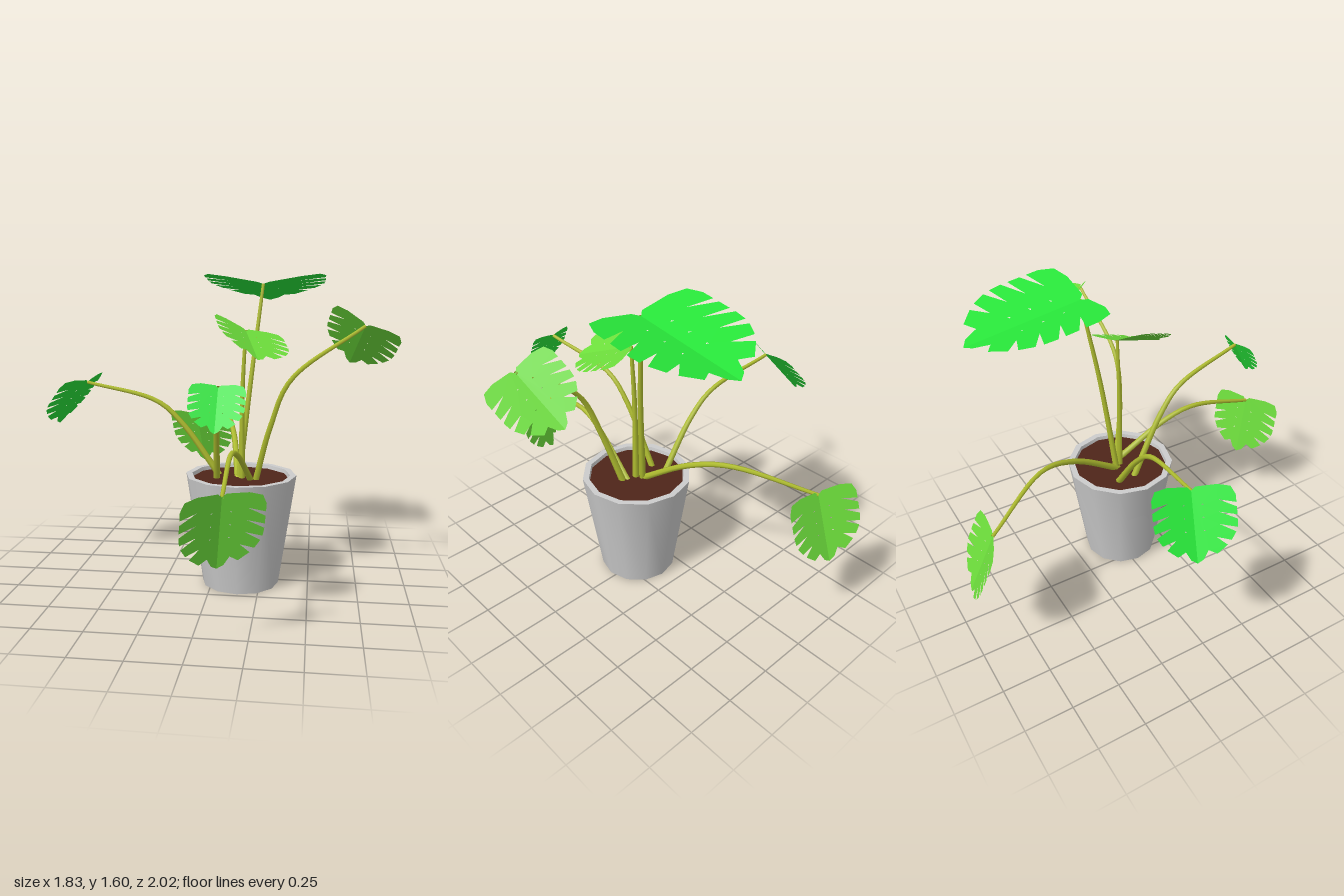
import * as THREE from 'three';
import { mergeGeometries, toCreasedNormals } from 'three/addons/utils/BufferGeometryUtils.js';

const mat = (color) => new THREE.MeshStandardMaterial({ color, side: THREE.DoubleSide });
const V = (p) => new THREE.Vector3(...p);
const FOLD = 0.17; // rise of the leaf blade away from the midrib

// Half width of the blade at height y, both as shares of the leaf size
const envelope = (y) => (y < 0.45 ? 1 : (1 - ((y - 0.45) / 0.55) ** 2) ** 0.75);

// Half of a split leaf: a rounded base lobe, five forward-pointing fingers, the tip
function halfOutline() {
  const pts = [[0, 0], [0.1, -0.05], [0.6, -0.06], [0.9, -0.02]];
  for (let i = 0; i < 5; i++) {
    const low = 0.1 + 0.17 * i, high = low + 0.11;
    pts.push([envelope(low), low], [envelope(high), high], [0.58 * envelope(high), high - 0.06]);
  }
  return [...pts, [0.15, 0.95], [0, 1]];
}

// Both halves of a leaf, folded along the midrib, with a few small slits
function leafGeometry(length, halfWidth) {
  const halves = [1, -1].map((side) => {
    const at = (x, y) => new THREE.Vector2(side * x * halfWidth, y * length);
    const shape = new THREE.Shape(halfOutline().map(([x, y]) => at(x, y)));
    for (let y = 0.2; y < 0.6; y += 0.18) {
      shape.holes.push(new THREE.Path([at(0.2, y), at(0.23, y - 0.01), at(0.25, y + 0.01)]));
    }
    const g = new THREE.ShapeGeometry(shape);
    const p = g.attributes.position;
    for (let i = 0; i < p.count; i++) p.setZ(i, Math.abs(p.getX(i)) * FOLD);
    g.computeVertexNormals();
    return g;
  });
  return mergeGeometries(halves);
}

// Leaf running from its base to its tip, spread along the side direction
function makeLeaf(base, tip, side, width, material) {
  const along = tip.clone().sub(base);
  const length = along.length();
  along.normalize();
  const across = side.clone().addScaledVector(along, -side.dot(along)).normalize();
  const up = new THREE.Vector3().crossVectors(across, along);
  const leaf = new THREE.Mesh(leafGeometry(length, width / 2), material);
  leaf.applyMatrix4(new THREE.Matrix4().makeBasis(across, along, up).setPosition(base));
  leaf.name = 'leaf';
  return leaf;
}

// Tube that grows thinner towards the leaf
function makeStem(points, material) {
  const curve = new THREE.CatmullRomCurve3(points);
  const rings = 20, sides = 6;
  const g = new THREE.TubeGeometry(curve, rings, 0.018, sides);
  const p = g.attributes.position;
  const v = new THREE.Vector3();
  for (let i = 0; i < p.count; i++) {
    const t = Math.floor(i / (sides + 1)) / rings;
    const c = curve.getPointAt(t);
    v.fromBufferAttribute(p, i).sub(c).multiplyScalar(1 - 0.5 * t).add(c);
    p.setXYZ(i, v.x, v.y, v.z);
  }
  const stem = new THREE.Mesh(g, material);
  stem.name = 'stem';
  return stem;
}

export function createModel() {
  const model = new THREE.Group();
  model.name = 'pottedPlant';
  const bright = mat(0x28e63a), soft = mat(0x6cdc3b), stemMat = mat(0xb0be30);

  // Tapered pot with a flat rim and a short inner wall
  const profile = [[0, 0], [0.2, 0], [0.287, 0.58], [0.255, 0.58], [0.25, 0.55]];
  const potGeometry = new THREE.LatheGeometry(profile.map((p) => new THREE.Vector2(...p)), 12);
  const pot = new THREE.Mesh(toCreasedNormals(potGeometry, 0.65), mat(0xcccccc));
  pot.name = 'pot';
  pot.position.set(0.145, 0, 0.03);
  model.add(pot);

  // Soil disc just below the rim
  const soil = new THREE.Mesh(new THREE.CylinderGeometry(0.251, 0.251, 0.01, 12), mat(0x4f2519));
  soil.name = 'soil';
  soil.position.set(0.145, 0.555, 0.03);
  model.add(soil);

  // A stem from the soil up through its points, with a leaf at its end
  function addBranch(name, leafMat, stem, tip, side, width) {
    const points = stem.map(V);
    const branch = new THREE.Group();
    branch.name = name;
    branch.add(makeStem(points, stemMat));
    branch.add(makeLeaf(points[points.length - 1], V(tip), V(side), width, leafMat));
    model.add(branch);
  }

  // Upright branches
  addBranch('topBranch', bright, [[0.13, 0.54, 0], [0.19, 1.1, -0.06], [0.24, 1.55, -0.13]],
    [0.24, 1.46, -0.73], [1, 0, 0], 0.64);
  addBranch('middleBranch', soft, [[0.15, 0.54, 0.03], [0.15, 1, 0.03], [0.165, 1.32, 0.03]],
    [0.25, 1.2, 0.33], [-0.33, 0.12, 0.14], 0.38);

  // Arching side branches
  addBranch('leftBranch', soft,
    [[0.22, 0.54, 0.05], [0.3, 0.85, 0.12], [0.4, 1.09, 0.15], [0.75, 1.35, 0.13]],
    [0.69, 1.15, -0.13], [0.87, -0.45, 0.1], 0.37);
  addBranch('rightBranch', bright,
    [[0.03, 0.54, -0.05], [-0.17, 0.82, -0.05], [-0.31, 0.94, -0.06], [-0.7, 1.03, -0.1]],
    [-0.89, 0.79, -0.18], [0.2, 0.13, -0.31], 0.38);

  // Branches that droop over the back and the front of the pot
  addBranch('backBranch', soft,
    [[0.13, 0.54, 0.02], [0.07, 0.75, -0.29], [0, 0.815, -0.5], [-0.22, 0.73, -0.86]],
    [-0.19, 0.42, -0.99], [0.38, 0, 0.09], 0.4);
  addBranch('lowFrontBranch', soft,
    [[0.2, 0.54, 0.03], [0.16, 0.74, 0.33], [0.145, 0.785, 0.5], [0.15, 0.69, 0.89]],
    [0.12, 0.36, 0.83], [-0.35, 0, 0.19], 0.38);
  addBranch('highFrontBranch', bright,
    [[0.02, 0.54, 0.04], [0.04, 0.89, 0.22], [0.055, 1.02, 0.34], [0.115, 1.12, 0.74]],
    [0.11, 0.94, 0.83], [-1, 0, 0.05], 0.24);
  return model;
}
